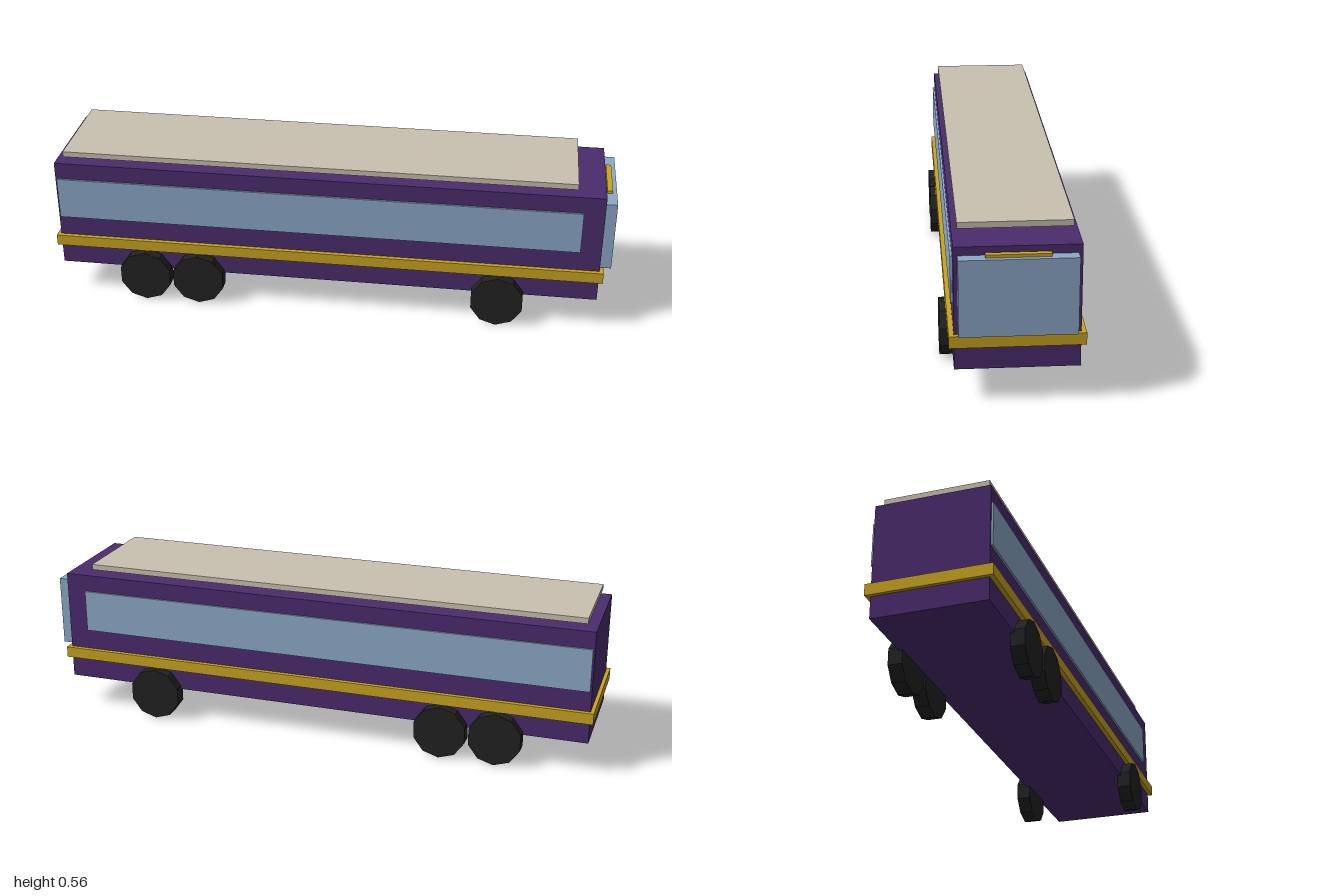
import * as THREE from 'three';

const material = (name, color) => {
  const m = new THREE.MeshStandardMaterial({ color });
  m.name = name;
  return m;
};

export function createModel() {
  const purple = material('purple paint', 0x4a2c6d);
  const gold = material('gold trim', 0xc9a420);
  const glass = material('blue glass', 0x8ca9c8);
  const beige = material('beige roof', 0xc9c1b0);
  const rubber = material('black rubber', 0x222222);

  const bus = new THREE.Group();
  bus.name = 'bus';

  // Box given by its extents along each axis
  const box = (name, mat, [x0, x1], [y0, y1], [z0, z1]) => {
    const mesh = new THREE.Mesh(new THREE.BoxGeometry(x1 - x0, y1 - y0, z1 - z0), mat);
    mesh.position.set((x0 + x1) / 2, (y0 + y1) / 2, (z0 + z1) / 2);
    mesh.name = name;
    bus.add(mesh);
  };

  // Body, waist band and raised roof panel
  box('body', purple, [-0.987, 0.961], [0.114, 0.52], [-0.196, 0.196]);
  box('waistBand', gold, [-1, 0.975], [0.192, 0.232], [-0.212, 0.212]);
  box('roofPanel', beige, [-0.956, 0.863], [0.54, 0.56], [-0.18, 0.18]);

  // Windscreen at the +x end with the sign on its top edge
  box('windscreen', glass, [0.961, 1], [0.24, 0.492], [-0.183, 0.183]);
  box('destinationSign', gold, [0.966, 0.985], [0.48, 0.502], [-0.1, 0.1]);

  // Long side windows
  box('frontSideWindow', glass, [-0.981, 0.888], [0.306, 0.459], [0.196, 0.203]);
  box('backSideWindow', glass, [-0.981, 0.888], [0.306, 0.459], [-0.203, -0.196]);

  // Ten-sided wheels: one axle near the windscreen, two at the other end
  const wheel = new THREE.CylinderGeometry(0.096, 0.096, 0.05, 10).rotateX(Math.PI / 2).toNonIndexed();
  wheel.computeVertexNormals();
  for (const x of [-0.67, -0.474, 0.61]) {
    for (const side of [-1, 1]) {
      const mesh = new THREE.Mesh(wheel, rubber);
      mesh.position.set(x, 0.096, side * 0.207);
      mesh.name = 'wheel';
      bus.add(mesh);
    }
  }
  return bus;
}
